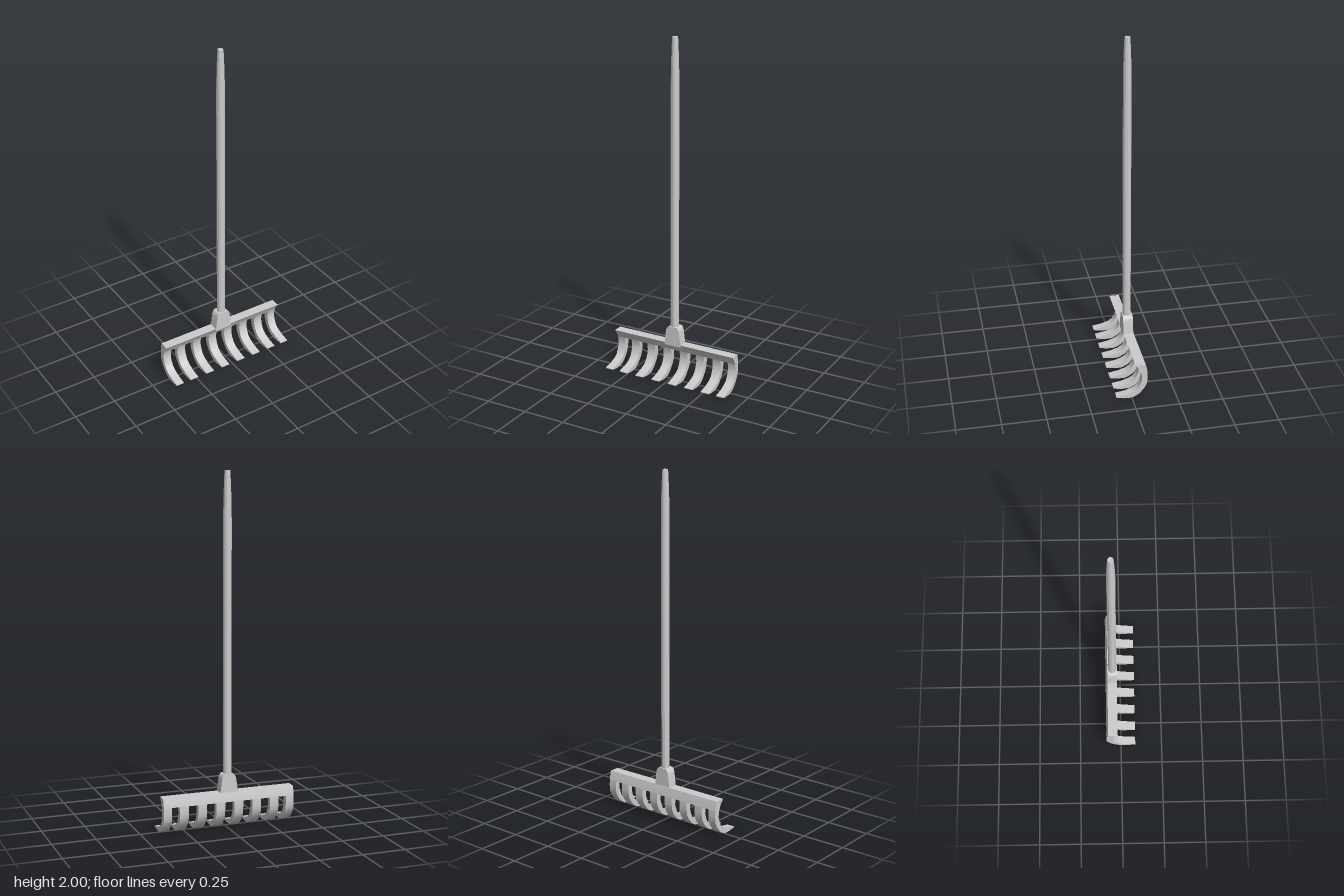
import * as THREE from 'three';
import { toCreasedNormals } from 'three/addons/utils/BufferGeometryUtils.js';

const material = new THREE.MeshStandardMaterial({ color: 0xcccccc });

// Side profile of the curved head as [z, y], upper bar and lower tine
const barProfile = [
  [-0.02, 0.213], [-0.078, 0.213], [-0.085, 0.185], [-0.089, 0.16],
  [-0.052, 0.16], [-0.042, 0.182],
];
const tineProfile = [
  [-0.052, 0.16], [-0.089, 0.16], [-0.09, 0.125], [-0.086, 0.088], [-0.071, 0.058],
  [-0.042, 0.024], [-0.012, 0.006], [0.015, 0.001], [0.045, 0.003], [0.088, 0.01],
  [0.088, 0.014], [0.03, 0.024], [-0.01, 0.038], [-0.035, 0.056], [-0.05, 0.085],
  [-0.058, 0.115], [-0.057, 0.14],
];

// Sweeps a [z, y] profile sideways between two x positions
function sweep(name, profile, x0, x1) {
  const shape = new THREE.Shape(profile.map(([z, y]) => new THREE.Vector2(z, y)));
  const geometry = new THREE.ExtrudeGeometry(shape, { depth: x1 - x0, bevelEnabled: false });
  geometry.rotateY(-Math.PI / 2).translate(x1, 0, 0);
  const mesh = new THREE.Mesh(toCreasedNormals(geometry, 0.7), material);
  mesh.name = name;
  return mesh;
}

export function createModel() {
  const group = new THREE.Group();
  group.name = 'rake';
  const shaftZ = -0.047;

  // Head: one bar with eight curved tines, mirrored about the middle
  const head = new THREE.Group();
  head.name = 'head';
  head.add(sweep('bar', barProfile, -0.389, 0.389));
  for (const [inner, outer] of [[0.028, 0.08], [0.136, 0.188], [0.243, 0.295], [0.341, 0.389]]) {
    head.add(sweep('tine', tineProfile, inner, outer));
    head.add(sweep('tine', tineProfile, -outer, -inner));
  }
  group.add(head);

  // Socket: tapered block with a rounded top, rooted in the bar
  const outline = new THREE.Shape();
  outline.moveTo(-0.053, 0.2);
  outline.lineTo(0.053, 0.2);
  outline.lineTo(0.05, 0.23);
  outline.lineTo(0.043, 0.285);
  outline.quadraticCurveTo(0.04, 0.309, 0.026, 0.317);
  outline.lineTo(-0.026, 0.317);
  outline.quadraticCurveTo(-0.04, 0.309, -0.043, 0.285);
  outline.lineTo(-0.05, 0.23);
  outline.closePath();
  const socketGeometry = new THREE.ExtrudeGeometry(outline, {
    depth: 0.058, bevelEnabled: false, curveSegments: 4,
  });
  socketGeometry.translate(0, 0, shaftZ - 0.03);
  const socket = new THREE.Mesh(toCreasedNormals(socketGeometry, 0.7), material);
  socket.name = 'socket';
  group.add(socket);

  // Handle: straight shaft narrowing to a flat tip
  const points = [
    [0, 0.29], [0.024, 0.29], [0.024, 1.74], [0.0215, 1.87],
    [0.0175, 1.975], [0.0155, 2], [0, 2],
  ].map(([r, y]) => new THREE.Vector2(r, y));
  const handleGeometry = new THREE.LatheGeometry(points, 12);
  const handle = new THREE.Mesh(toCreasedNormals(handleGeometry, 0.4), material);
  handle.name = 'handle';
  handle.position.z = shaftZ;
  group.add(handle);

  return group;
}
